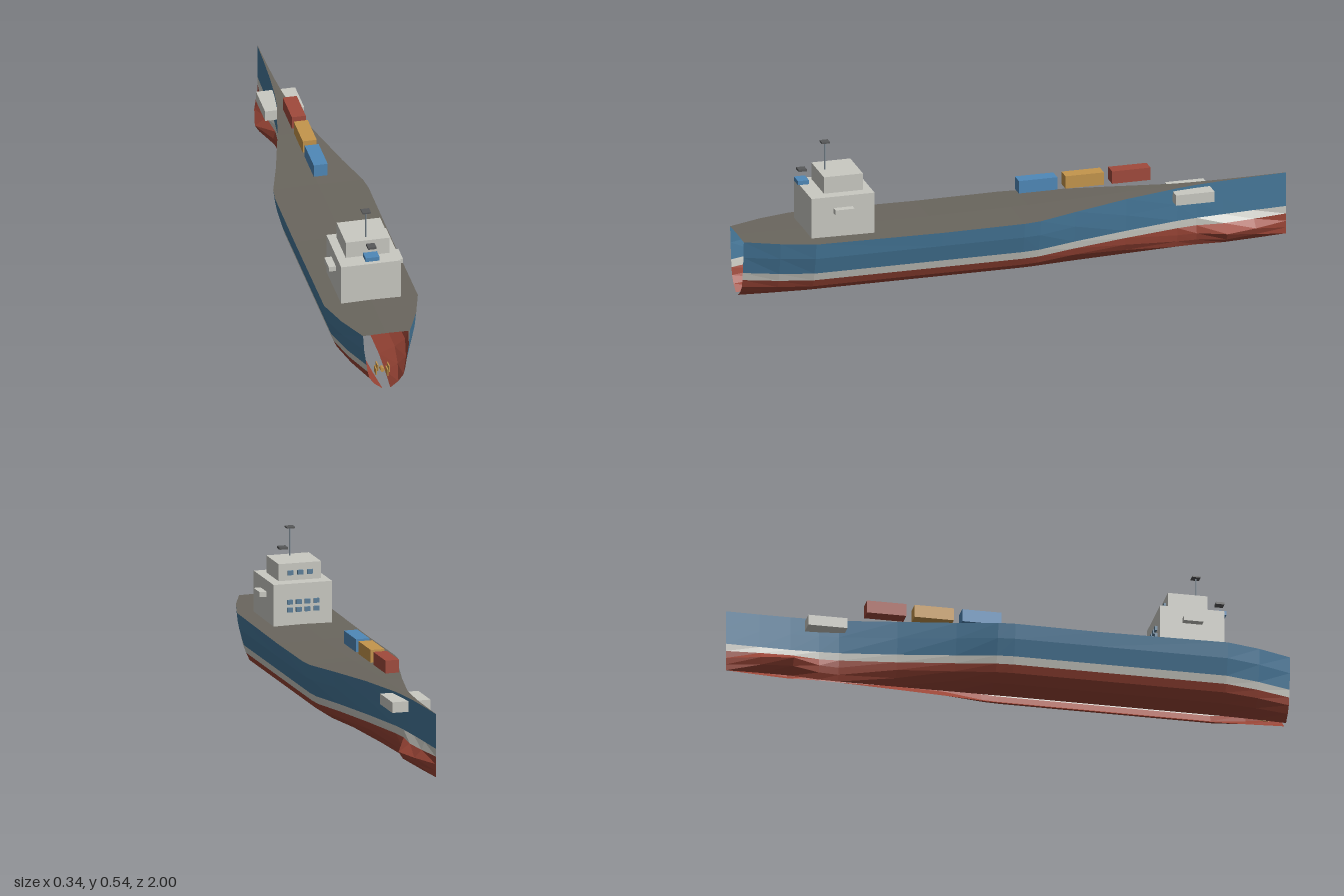
import * as THREE from 'three';

const mat = (name, color, side = THREE.FrontSide) => {
  const m = new THREE.MeshStandardMaterial({ color, side });
  m.name = name;
  return m;
};

export function createModel() {
  const ship = new THREE.Group();
  ship.name = 'cargoShip';

  const blue = mat('hull blue', 0x46789a, THREE.DoubleSide);
  const red = mat('hull red', 0x9a4536, THREE.DoubleSide);
  const white = mat('off white', 0xc9c9c2, THREE.DoubleSide);
  const deckGrey = mat('deck grey', 0x6a665e, THREE.DoubleSide);
  const cargoBlue = mat('cargo blue', 0x4f88b8);
  const cargoRed = mat('cargo red', 0xa04a3c);
  const gold = mat('ochre', 0xc4954c);
  const dark = mat('dark metal', 0x58595a);
  const glass = mat('window blue', 0x5c7f99);
  const steel = mat('mast steel', 0x7f8c96);

  const add = (name, geometry, material, x = 0, y = 0, z = 0) => {
    const mesh = new THREE.Mesh(geometry, material);
    mesh.name = name;
    mesh.position.set(x, y, z);
    ship.add(mesh);
    return mesh;
  };
  // Box given by its extents along each axis
  const box = (name, material, x0, x1, y0, y1, z0, z1) =>
    add(name, new THREE.BoxGeometry(x1 - x0, y1 - y0, z1 - z0), material,
      (x0 + x1) / 2, (y0 + y1) / 2, (z0 + z1) / 2);

  // Faceted surface through a grid of points
  const loft = (name, rows, material, flip) => {
    const pos = [];
    for (let i = 0; i < rows.length - 1; i++) {
      for (let j = 0; j < rows[i].length - 1; j++) {
        const a = rows[i][j], b = rows[i][j + 1], c = rows[i + 1][j + 1], d = rows[i + 1][j];
        const tris = flip ? [a, c, b, a, d, c] : [a, b, c, a, c, d];
        tris.forEach((p) => pos.push(...p));
      }
    }
    const g = new THREE.BufferGeometry();
    g.setAttribute('position', new THREE.Float32BufferAttribute(pos, 3));
    g.computeVertexNormals();
    return add(name, g, material);
  };

  // Midship half section, deck edge down to the open keel: [x, y]
  const section = [[0.168, 0.22], [0.16, 0.165], [0.143, 0.105], [0.135, 0.077],
    [0.122, 0.05], [0.085, 0.025], [0.028, 0.003]];
  // How strongly each level swells into the bulbous bow
  const swell = [0, 0, 0, 0.35, 1, 0.75, 0.2];
  // Stations from stern to bow: [z, breadth factor, deck y, rise, bulb half width]
  const stations = [
    [1, 0.5, 0.226, 0.002, 0], [0.88, 0.8, 0.224, 0.001, 0], [0.76, 1, 0.222, 0, 0],
    [0.3, 1, 0.217, 0, 0], [0, 1, 0.219, 0, 0], [-0.06, 0.96, 0.22, 0, 0],
    [-0.2, 0.71, 0.225, 0.003, 0], [-0.4, 0.4, 0.233, 0.006, 0],
    [-0.6, 0.14, 0.237, 0.009, 0], [-0.67, 0.09, 0.239, 0.01, 0.02],
    [-0.77, 0.045, 0.241, 0.011, 0.063], [-0.88, 0.02, 0.243, 0.013, 0.04],
    [-1, 0.004, 0.245, 0.015, 0.001],
  ];
  const half = (s) => stations.map(([z, f, deckY, rise, bulb]) =>
    section.map(([x, y], j) => [
      s * Math.max(x * f, bulb * swell[j]), j === 0 ? deckY : y + rise, z]));

  // Hull sides in painted bands; stern and keel stay open
  for (const s of [1, -1]) {
    const rows = half(s);
    const side = s > 0 ? 'left' : 'right';
    const band = (name, from, to, m) =>
      loft(side + name, rows.map((r) => r.slice(from, to + 1)), m, s < 0);
    band('UpperHull', 0, 2, blue);
    band('WaterlineStripe', 2, 3, white);
    band('LowerHull', 3, 6, red);
  }

  // Slightly cambered deck
  loft('deck', stations.map(([z, f, y]) => [
    [-0.168 * f, y, z], [0, y + 0.003 * f, z], [0.168 * f, y, z]]), deckGrey, true)
    .geometry.computeVertexNormals();
  const deck = ship.children[ship.children.length - 1].geometry;
  // Keep the deck facing upward
  if (deck.attributes.normal.getY(0) < 0) {
    const p = deck.attributes.position;
    for (let i = 0; i < p.count; i += 3) {
      const a = [p.getX(i), p.getY(i), p.getZ(i)];
      p.setXYZ(i, p.getX(i + 1), p.getY(i + 1), p.getZ(i + 1));
      p.setXYZ(i + 1, ...a);
    }
    deck.computeVertexNormals();
  }

  // Bow crossbeam housing
  box('bowHousing', white, -0.07, 0.07, 0.19, 0.228, -0.72, -0.58);

  // Superstructure
  box('deckHouse', white, -0.107, 0.107, 0.22, 0.37, 0.53, 0.76);
  box('bridge', white, -0.078, 0.078, 0.374, 0.435, 0.564, 0.706);
  for (const s of [1, -1]) {
    box('bridgeWing', white, s > 0 ? 0.107 : -0.133, s > 0 ? 0.133 : -0.107, 0.31, 0.328, 0.61, 0.68);
  }

  // Windows facing the bow
  for (const y of [0.277, 0.305]) {
    for (let i = 0; i < 4; i++) {
      const x = -0.0485 + i * 0.0323;
      box('houseWindow', glass, x - 0.01, x + 0.01, y - 0.008, y + 0.008, 0.522, 0.53);
    }
  }
  for (const x of [-0.036, 0, 0.036]) {
    box('bridgeWindow', glass, x - 0.01, x + 0.01, 0.394, 0.41, 0.556, 0.564);
  }

  // Mast with its top platform
  add('mast', new THREE.CylinderGeometry(0.0028, 0.0028, 0.104, 8), steel, 0, 0.487, 0.68);
  box('mastPlatform', dark, -0.015, 0.015, 0.535, 0.54, 0.665, 0.695);

  // Funnel and its cap
  box('funnel', cargoBlue, -0.025, 0.025, 0.395, 0.41, 0.745, 0.785);
  box('funnelCap', dark, -0.015, 0.015, 0.44, 0.448, 0.75, 0.78);

  // Row of containers
  [cargoBlue, gold, cargoRed].forEach((m, i) => {
    const z = -0.02 - i * 0.17;
    box('container', m, -0.025, 0.025, 0.279, 0.325, z - 0.14, z);
  });

  // Propeller inside the open stern
  const hub = add('propellerHub', new THREE.CylinderGeometry(0.008, 0.008, 0.02, 8), gold, 0, 0.043, 0.93);
  hub.rotation.x = Math.PI / 2;
  for (const [x, y] of [[-0.023, 0.04], [-0.018, 0.056], [0.023, 0.047], [0.018, 0.032]]) {
    box('propellerBlade', gold, x - 0.002, x + 0.002, y - 0.012, y + 0.012, 0.915, 0.945);
  }
  return ship;
}
